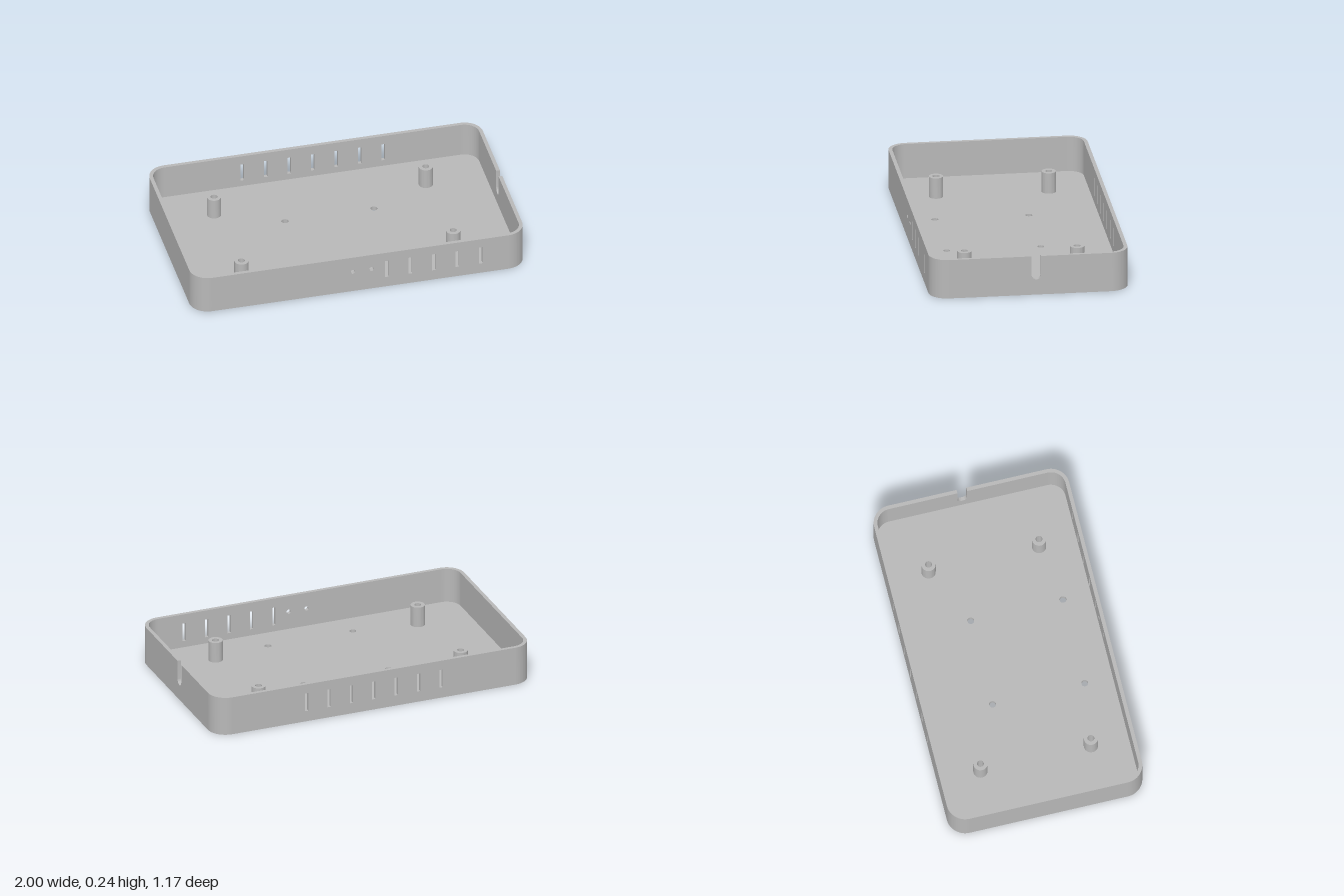
import * as THREE from 'three';
import { toCreasedNormals } from 'three/addons/utils/BufferGeometryUtils.js';

const HX = 1, HZ = 0.585, H = 0.238;      // half length, half width, height
const R = 0.11, W = 0.022;                // corner radius, wall thickness
const FLOOR = 0.026, POCKET = 0.014;      // floor thickness, screw-head pocket depth
const POST_TOP = 0.152;

const posts = [[-0.652, -0.325], [0.62, -0.325], [-0.652, 0.338], [0.62, 0.338]];
const floorHoles = [[-0.267, -0.158], [0.267, -0.158], [-0.267, 0.395], [0.267, 0.395]];

function circle(x, y, r) {
  return new THREE.Path().absarc(x, y, r, 0, Math.PI * 2, true);
}

function slot(x, y0, y1, w) {
  return new THREE.Path().moveTo(x - w / 2, y0).lineTo(x - w / 2, y1)
    .lineTo(x + w / 2, y1).lineTo(x + w / 2, y0).closePath();
}

function roundedRect(hx, hy, r) {
  const s = new THREE.Shape();
  s.absarc(hx - r, hy - r, r, 0, Math.PI / 2);
  s.absarc(-hx + r, hy - r, r, Math.PI / 2, Math.PI);
  s.absarc(-hx + r, -hy + r, r, Math.PI, Math.PI * 1.5);
  s.absarc(hx - r, -hy + r, r, Math.PI * 1.5, Math.PI * 2);
  s.closePath();
  return s;
}

function extrude(shape, depth) {
  const g = new THREE.ExtrudeGeometry(shape, { depth, bevelEnabled: false, curveSegments: 16 });
  return toCreasedNormals(g, 0.6);
}

// Plan-view shape (x, -z) raised from y0 to y1
function raise(shape, y0, y1) {
  return extrude(shape, y1 - y0).rotateX(-Math.PI / 2).translate(0, y0, 0);
}

// Upright rectangular wall panel between the rounded corners
function panel(half, holes = []) {
  const s = new THREE.Shape();
  s.moveTo(-half, FLOOR).lineTo(half, FLOOR).lineTo(half, H).lineTo(-half, H).closePath();
  s.holes.push(...holes);
  return s;
}

export function createModel() {
  const model = new THREE.Group();
  model.name = 'enclosureTray';
  const grey = new THREE.MeshStandardMaterial({ color: 0xb8b8b8 });
  grey.name = 'grey plastic';
  const add = (name, geometry) => {
    const m = new THREE.Mesh(geometry, grey);
    m.name = name;
    model.add(m);
  };

  // Floor in two layers, the lower one with wider pockets below the posts
  const layer = (postHole) => {
    const s = roundedRect(HX, HZ, R);
    for (const [x, z] of posts) s.holes.push(circle(x, -z, postHole));
    for (const [x, z] of floorHoles) s.holes.push(circle(x, -z, 0.02));
    return s;
  };
  add('floorBottom', raise(layer(0.035), 0, POCKET));
  add('floorTop', raise(layer(0.02), POCKET, FLOOR));

  // Hollow mounting posts
  for (const [x, z] of posts) {
    const s = new THREE.Shape().absarc(x, -z, 0.042, 0, Math.PI * 2);
    s.holes.push(circle(x, -z, 0.02));
    add('mountingPost', raise(s, FLOOR, POST_TOP));
  }

  // Front wall: five vents and two round holes
  const frontHoles = [circle(-0.044, 0.137, 0.014), circle(0.068, 0.137, 0.014)];
  for (let i = 0; i < 5; i++) frontHoles.push(slot(0.161 + i * 0.141, 0.066, 0.18, 0.021));
  add('frontWall', extrude(panel(HX - R, frontHoles), W).translate(0, 0, HZ - W));

  // Back wall: seven vents
  const backHoles = [];
  for (let i = -3; i <= 3; i++) backHoles.push(slot(i * 0.141, 0.066, 0.18, 0.021));
  add('backWall', extrude(panel(HX - R, backHoles), W).translate(0, 0, -HZ));

  // Plain end wall
  const hz = HZ - R;
  add('rightWall', extrude(panel(hz), W).rotateY(Math.PI / 2).translate(-HX, 0, 0));

  // End wall with a round-bottomed cable notch open at the rim
  const c = 0.035, r = 0.029, notchY = 0.094 + r;
  const s = new THREE.Shape();
  s.moveTo(-hz, FLOOR).lineTo(hz, FLOOR).lineTo(hz, H).lineTo(c + r, H).lineTo(c + r, notchY);
  s.absarc(c, notchY, r, 0, -Math.PI, true);
  s.lineTo(c - r, H).lineTo(-hz, H).closePath();
  add('leftWall', extrude(s, W).rotateY(Math.PI / 2).translate(HX - W, 0, 0));

  // Rounded corners
  for (let i = 0; i < 4; i++) {
    const a = i * Math.PI / 2;
    const cx = (i === 0 || i === 3 ? 1 : -1) * (HX - R);
    const cy = (i < 2 ? 1 : -1) * (HZ - R);
    const q = new THREE.Shape();
    q.absarc(cx, cy, R, a, a + Math.PI / 2);
    q.absarc(cx, cy, R - W, a + Math.PI / 2, a, true);
    q.closePath();
    add('cornerWall', raise(q, FLOOR, H));
  }
  return model;
}
